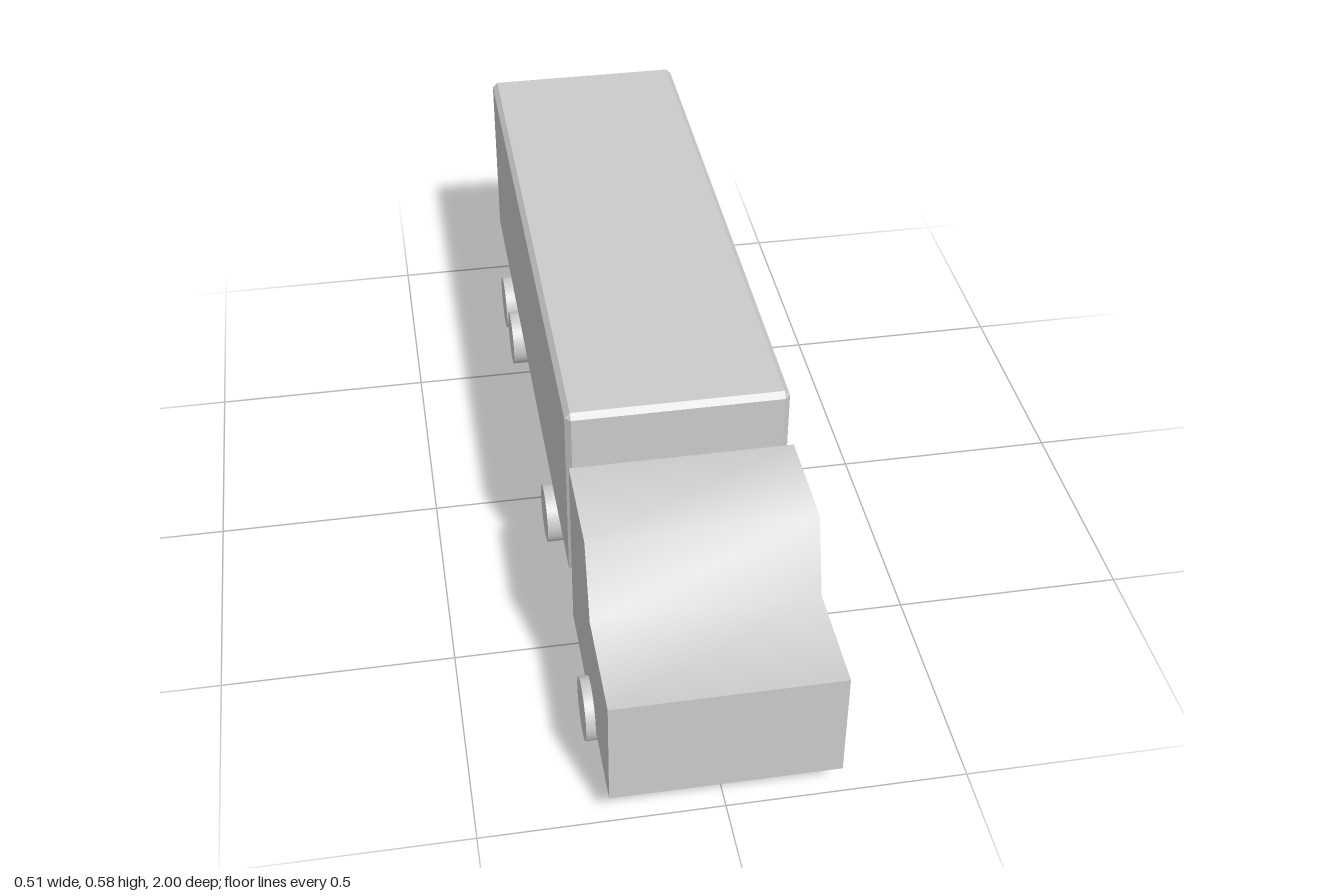
import * as THREE from 'three';
import { toCreasedNormals } from 'three/addons/utils/BufferGeometryUtils.js';
import { ConvexGeometry } from 'three/addons/geometries/ConvexGeometry.js';

const grey = new THREE.MeshStandardMaterial({ color: 0xcccccc });

function part(name, geometry, parent) {
  const mesh = new THREE.Mesh(geometry, grey);
  mesh.name = name;
  parent.add(mesh);
  return mesh;
}

// Side profile given as [z, y] points, extruded across the width and centred on x
function sideExtrude(points, width, crease) {
  const shape = new THREE.Shape(points.map(([z, y]) => new THREE.Vector2(-z, y)));
  const geo = new THREE.ExtrudeGeometry(shape, { depth: width, bevelEnabled: false });
  geo.translate(0, 0, -width / 2).rotateY(Math.PI / 2);
  return toCreasedNormals(geo, crease);
}

// Box with every edge and corner chamfered by c
function chamferBox(w, h, d, c) {
  const pts = [];
  const [x, y, z] = [w / 2, h / 2, d / 2];
  for (const sx of [-1, 1]) for (const sy of [-1, 1]) for (const sz of [-1, 1]) {
    pts.push(
      new THREE.Vector3(sx * x, sy * (y - c), sz * (z - c)),
      new THREE.Vector3(sx * (x - c), sy * y, sz * (z - c)),
      new THREE.Vector3(sx * (x - c), sy * (y - c), sz * z));
  }
  return new ConvexGeometry(pts);
}

export function createModel() {
  const truck = new THREE.Group();
  truck.name = 'truck';

  // Tractor: cab with bonnet, softly shaded from bonnet to roof
  const tractor = new THREE.Group();
  tractor.name = 'tractor';
  truck.add(tractor);
  part('cab', sideExtrude([
    [1, 0.067], [1, 0.318], [0.763, 0.318], [0.709, 0.483], [0.48, 0.483], [0.48, 0.067],
  ], 0.472, 1.3), tractor);

  // Bar linking cab and trailer
  part('couplingBar', new THREE.BoxGeometry(0.042, 0.044, 0.35), tractor)
    .position.set(0, 0.109, 0.31);

  // Front axle
  const axle = part('frontAxle', new THREE.CylinderGeometry(0.015, 0.015, 0.42, 24), tractor);
  axle.rotation.z = Math.PI / 2;
  axle.position.set(0, 0.067, 0.755);

  // Trailer body with tapered wheel mounts below
  const trailer = new THREE.Group();
  trailer.name = 'trailer';
  truck.add(trailer);
  part('trailerBody', chamferBox(0.472, 0.437, 1.438, 0.012), trailer)
    .position.set(0, 0.3655, -0.281);
  for (const [name, z0, z1] of [['frontMount', 0.222, 0.044], ['rearMount', -0.482, -0.812]]) {
    part(name, sideExtrude([
      [z0, 0.15], [z1, 0.15], [z1 + 0.03, 0.07], [z0 - 0.03, 0.07],
    ], 0.404, 0.3), trailer);
  }

  // Wheels in mirrored pairs
  const wheelGeo = new THREE.CylinderGeometry(0.067, 0.067, 0.055, 40).rotateZ(Math.PI / 2);
  [0.755, 0.135, -0.565, -0.73].forEach((z, i) => {
    for (const s of [-1, 1]) {
      part(`${s > 0 ? 'left' : 'right'}Wheel${i + 1}`, wheelGeo, i ? trailer : tractor)
        .position.set(s * 0.2285, 0.067, z);
    }
  });
  return truck;
}
